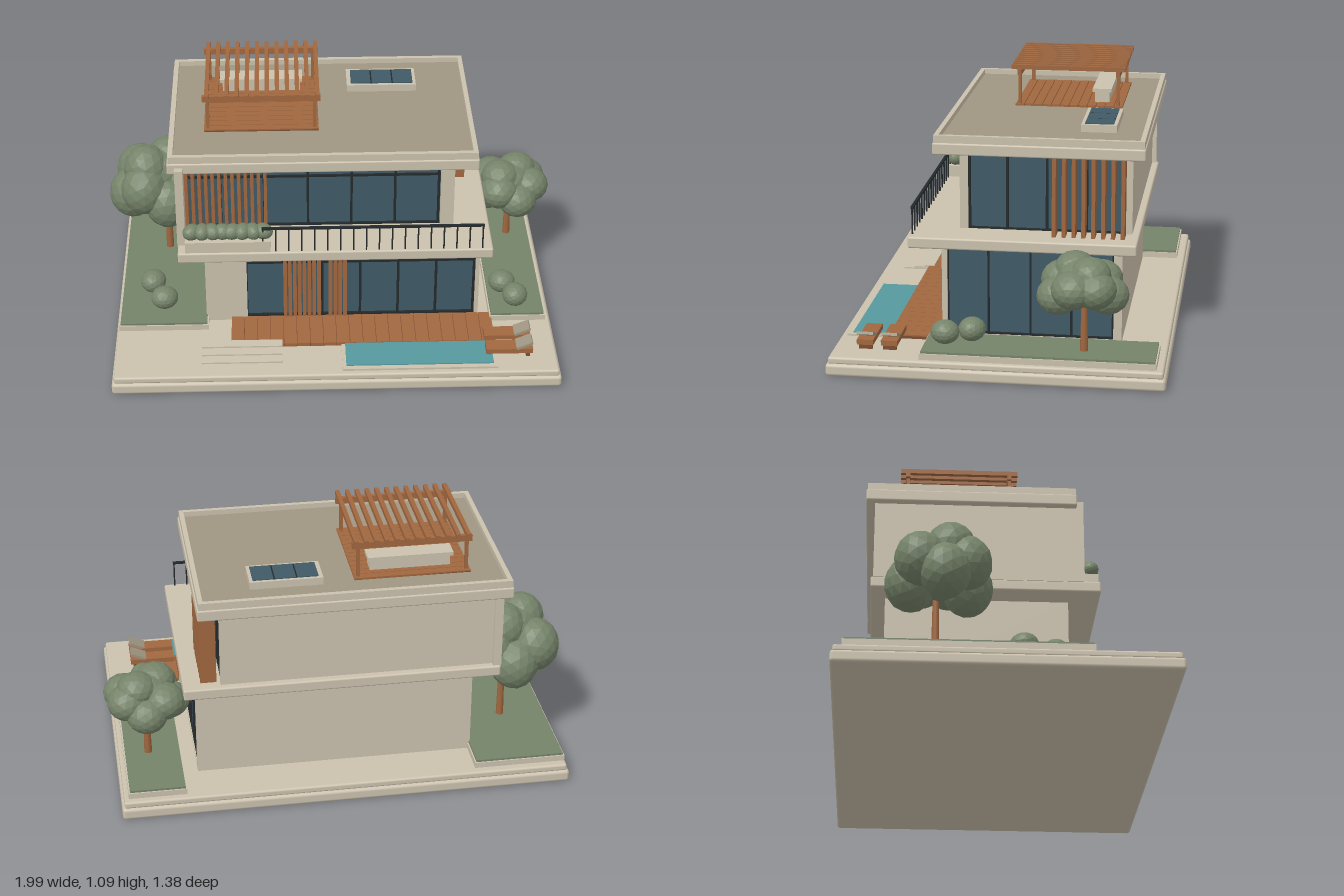
import * as THREE from 'three';
import { RoundedBoxGeometry } from 'three/addons/geometries/RoundedBoxGeometry.js';

const mat = (name, color, flat = false) => {
  const m = new THREE.MeshStandardMaterial({ color, flatShading: flat });
  m.name = name;
  return m;
};

export function createModel() {
  const model = new THREE.Group();
  model.name = 'modernHouse';
  const stone = mat('paleStone', 0xcbc1ad);
  const roofing = mat('roofTaupe', 0x9f9682);
  const wood = mat('cedarWood', 0xa0673f);
  const darkWood = mat('darkWood', 0x7d4d30);
  const glass = mat('tintedGlass', 0x3f5a66);
  const frame = mat('darkFrame', 0x24292b);
  const leaf = mat('foliage', 0x76846a, true);
  const grass = mat('lawnGreen', 0x75836a);
  const water = mat('poolWater', 0x55999f);

  const group = (name) => {
    const g = new THREE.Group();
    g.name = name;
    model.add(g);
    return g;
  };
  // Box from its limits on each axis, with optional rounded edges
  const box = (parent, name, m, x0, x1, y0, y1, z0, z1, r = 0) => {
    const w = x1 - x0, h = y1 - y0, d = z1 - z0;
    const geo = r ? new RoundedBoxGeometry(w, h, d, 2, r) : new THREE.BoxGeometry(w, h, d);
    const mesh = new THREE.Mesh(geo, m);
    mesh.position.set((x0 + x1) / 2, (y0 + y1) / 2, (z0 + z1) / 2);
    mesh.name = name;
    parent.add(mesh);
    return mesh;
  };
  const blob = (parent, name, x, y, z, rx, ry = rx, rz = rx) => {
    const mesh = new THREE.Mesh(new THREE.IcosahedronGeometry(1, 2), leaf);
    mesh.position.set(x, y, z);
    mesh.scale.set(rx, ry, rz);
    mesh.rotation.y = x * 17 + z * 9;
    mesh.name = name;
    parent.add(mesh);
  };

  // Plot base
  const base = group('plot');
  box(base, 'lowerBase', stone, -0.955, 0.955, 0, 0.052, -0.69, 0.69, 0.014);
  box(base, 'upperBase', stone, -0.945, 0.945, 0.048, 0.079, -0.68, 0.68, 0.01);
  for (const [x0, x1, z0, z1] of [[-0.94, -0.55, -0.645, 0.34], [0.68, 0.925, -0.65, 0.31]]) {
    box(base, 'lawnCurb', stone, x0, x1, 0.075, 0.104, z0, z1);
    box(base, 'lawn', grass, x0 + 0.006, x1 - 0.006, 0.1, 0.113, z0 + 0.006, z1 - 0.006);
  }

  // Ground floor
  const ground = group('groundFloor');
  box(ground, 'floorPlinth', stone, -0.56, 0.62, 0.075, 0.09, -0.485, 0.255);
  box(ground, 'sideBlock', stone, -0.56, -0.38, 0.08, 0.47, -0.485, 0.27);
  box(ground, 'backWall', stone, -0.38, 0.62, 0.08, 0.47, -0.485, -0.45);
  box(ground, 'glazing', glass, -0.38, 0.607, 0.088, 0.47, -0.45, 0.25);
  box(ground, 'cornerColumn', stone, 0.614, 0.632, 0.09, 0.47, 0.24, 0.262);
  for (let i = 0; i < 7; i++) {
    const x = -0.382 + i * 0.165;
    box(ground, 'frontMullion', frame, x - 0.005, x + 0.005, 0.09, 0.47, 0.24, 0.265);
  }
  box(ground, 'frontTransom', frame, -0.38, 0.61, 0.366, 0.375, 0.24, 0.26);
  box(ground, 'frontSill', frame, -0.38, 0.61, 0.088, 0.1, 0.24, 0.262);
  for (const z of [0.24, 0.07, -0.105, -0.275, -0.447])
    box(ground, 'sideMullion', frame, 0.6, 0.617, 0.09, 0.47, z - 0.004, z + 0.004);
  box(ground, 'sideSill', frame, 0.6, 0.616, 0.088, 0.098, -0.45, 0.25);
  for (let i = 0; i < 8; i++)
    box(ground, 'doorSlat', wood, -0.222 + i * 0.021, -0.206 + i * 0.021, 0.095, 0.465, 0.255, 0.275);
  for (let i = 0; i < 4; i++)
    box(ground, 'doorSlat', wood, -0.025 + i * 0.021, -0.008 + i * 0.021, 0.095, 0.465, 0.255, 0.275);

  // Balcony slab, planter and railing
  const balcony = group('balcony');
  box(balcony, 'floorSlab', stone, -0.667, 0.672, 0.467, 0.515, -0.545, 0.397, 0.008);
  box(balcony, 'planter', stone, -0.635, -0.275, 0.51, 0.565, 0.32, 0.39);
  for (let i = 0; i < 8; i++)
    blob(balcony, 'hedge', -0.605 + i * 0.043, 0.598, 0.354, 0.036, 0.035, 0.043);
  box(balcony, 'handrail', frame, -0.31, 0.63, 0.624, 0.633, 0.378, 0.39);
  for (let i = 0; i < 18; i++) {
    const x = -0.306 + i * 0.0548;
    box(balcony, 'baluster', frame, x - 0.003, x + 0.003, 0.51, 0.627, 0.381, 0.387);
  }

  // Upper floor
  const upper = group('upperFloor');
  box(upper, 'sideFin', stone, -0.67, -0.635, 0.51, 0.882, -0.535, 0.33);
  box(upper, 'backWall', stone, -0.64, 0.515, 0.51, 0.855, -0.515, -0.485);
  box(upper, 'glazing', glass, -0.637, 0.5, 0.51, 0.855, -0.487, 0.175);
  box(upper, 'cornerPillar', stone, 0.458, 0.516, 0.51, 0.855, 0.168, 0.203);
  for (let i = 0; i < 6; i++) {
    const x = -0.485 + i * 0.187;
    box(upper, 'frontMullion', frame, x - 0.005, x + 0.005, 0.515, 0.85, 0.165, 0.187);
  }
  box(upper, 'frontTransom', frame, -0.635, 0.46, 0.756, 0.765, 0.165, 0.184);
  box(upper, 'frontSill', frame, -0.635, 0.46, 0.512, 0.523, 0.165, 0.186);
  box(upper, 'frontHead', frame, -0.635, 0.46, 0.84, 0.852, 0.165, 0.186);
  for (const z of [0.163, 0.005, -0.16, -0.325, -0.48])
    box(upper, 'sideMullion', frame, 0.49, 0.512, 0.515, 0.85, z - 0.005, z + 0.005);
  for (const y of [0.512, 0.842])
    box(upper, 'sideRail', frame, 0.49, 0.511, y, y + 0.01, -0.485, 0.168);
  for (let i = 0; i < 13; i++) {
    const x = -0.626 + i * 0.0278;
    box(upper, 'frontScreenSlat', wood, x - 0.007, x + 0.007, 0.513, 0.852, 0.215, 0.275);
  }
  for (let i = 0; i < 8; i++) {
    const z = -0.198 - i * 0.0405;
    box(upper, 'sideScreenSlat', wood, 0.53, 0.597, 0.513, 0.852, z - 0.008, z + 0.008);
  }

  // Roof with parapet and skylight
  const roof = group('roof');
  box(roof, 'roofSlab', stone, -0.702, 0.608, 0.85, 0.9, -0.572, 0.302, 0.007);
  box(roof, 'roofSurface', roofing, -0.685, 0.59, 0.89, 0.908, -0.555, 0.285);
  for (const [x0, x1, z0, z1] of [[-0.696, 0.602, 0.277, 0.297], [-0.696, 0.602, -0.567, -0.547],
    [-0.696, -0.676, -0.55, 0.28], [0.582, 0.602, -0.55, 0.28]])
    box(roof, 'parapet', stone, x0, x1, 0.895, 0.931, z0, z1);
  box(roof, 'skylightFrame', stone, 0.072, 0.377, 0.9, 0.94, -0.435, -0.285);
  for (let i = 0; i < 3; i++)
    box(roof, 'skylightPane', glass, 0.09 + i * 0.093, 0.177 + i * 0.093, 0.936, 0.944, -0.42, -0.3);
  for (let i = 1; i < 3; i++)
    box(roof, 'skylightBar', frame, 0.084 + i * 0.093, 0.09 + i * 0.093, 0.936, 0.943, -0.42, -0.3);

  // Roof terrace: decking, bench and pergola
  const terrace = group('roofTerrace');
  box(terrace, 'deckJoists', darkWood, -0.548, -0.062, 0.9, 0.912, -0.42, 0.05);
  for (let i = 0; i < 12; i++) {
    const z = -0.42 + i * 0.0392;
    box(terrace, 'deckPlank', wood, -0.55, -0.06, 0.905, 0.917, z, z + 0.036);
  }
  box(terrace, 'benchBase', stone, -0.475, -0.135, 0.91, 0.965, -0.357, -0.292);
  box(terrace, 'benchSeat', stone, -0.487, -0.125, 0.962, 0.978, -0.366, -0.283);
  for (const z of [0.03, -0.4]) {
    for (const x of [-0.533, -0.077])
      box(terrace, 'pergolaPost', wood, x - 0.007, x + 0.007, 0.905, 1.06, z - 0.007, z + 0.007);
    box(terrace, 'pergolaBeam', wood, -0.555, -0.052, 1.046, 1.073, z - 0.009, z + 0.009);
  }
  for (let i = 0; i < 12; i++) {
    const x = -0.535 + i * 0.0427;
    box(terrace, 'pergolaSlat', wood, x - 0.009, x + 0.009, 1.07, 1.09, -0.43, 0.065);
  }

  // Front deck, steps and pool
  const garden = group('frontGarden');
  box(garden, 'deckJoists', darkWood, -0.448, 0.688, 0.075, 0.09, 0.27, 0.473);
  for (let i = 0; i < 20; i++) {
    const x = -0.45 + i * 0.057;
    box(garden, 'deckPlank', wood, x, x + 0.0545, 0.08, 0.096, 0.268, 0.475);
  }
  for (let i = 0; i < 3; i++)
    box(garden, 'step', stone, -0.575, -0.23, 0.075, 0.086 + i * 0.007, 0.45, 0.59 - i * 0.047);
  box(garden, 'poolRim', stone, 0.024, 0.686, 0.075, 0.088, 0.47, 0.655);
  box(garden, 'poolWater', water, 0.04, 0.668, 0.082, 0.093, 0.472, 0.632);

  // Sun loungers with raised backrests
  for (const z of [0.447, 0.547]) {
    const lounger = group('sunLounger');
    box(lounger, 'loungerBed', wood, 0.64, 0.84, 0.1, 0.122, z - 0.034, z + 0.034);
    for (const x of [0.66, 0.82])
      box(lounger, 'loungerFoot', darkWood, x - 0.008, x + 0.008, 0.076, 0.102, z - 0.028, z + 0.028);
    const back = box(lounger, 'loungerBackrest', roofing, 0.768, 0.84, 0.13, 0.142, z - 0.034, z + 0.034);
    back.rotation.z = 0.4;
  }

  // Trees: tapered trunk and a crown of overlapping blobs
  const tree = (x, z, cx, cy, cz, ex, ey, ez) => {
    const g = group('tree');
    const h = cy - 0.1;
    const trunk = new THREE.Mesh(new THREE.CylinderGeometry(0.011, 0.017, h, 8), wood);
    trunk.position.set(x, 0.1 + h / 2, z);
    trunk.name = 'trunk';
    g.add(trunk);
    blob(g, 'crown', cx, cy + 0.12 * ey, cz, ex * 0.6, ey * 0.75, ez * 0.6);
    for (let i = 0; i < 7; i++) {
      const a = i * Math.PI * 2 / 7 + 0.3;
      const dy = i % 2 ? -0.28 : 0.05;
      blob(g, 'crown', cx + Math.cos(a) * ex * 0.53, cy + dy * ey, cz + Math.sin(a) * ez * 0.53,
        ex * 0.47, ey * 0.6, ez * 0.47);
    }
    for (const s of [-1, 1])
      blob(g, 'crown', cx + s * ex * 0.22, cy + 0.42 * ey, cz - s * ez * 0.18, ex * 0.46, ey * 0.56, ez * 0.46);
  };
  tree(-0.74, -0.28, -0.775, 0.485, -0.265, 0.225, 0.195, 0.225);
  tree(0.82, -0.35, 0.815, 0.39, -0.342, 0.185, 0.13, 0.19);

  // Bushes on the lawns
  const bushes = group('bushes');
  for (const [x, z] of [[-0.8, 0.07], [-0.745, 0.2], [0.75, 0.118], [0.798, 0.222]])
    blob(bushes, 'bush', x, 0.158, z, 0.056, 0.05, 0.06);

  return model;
}
